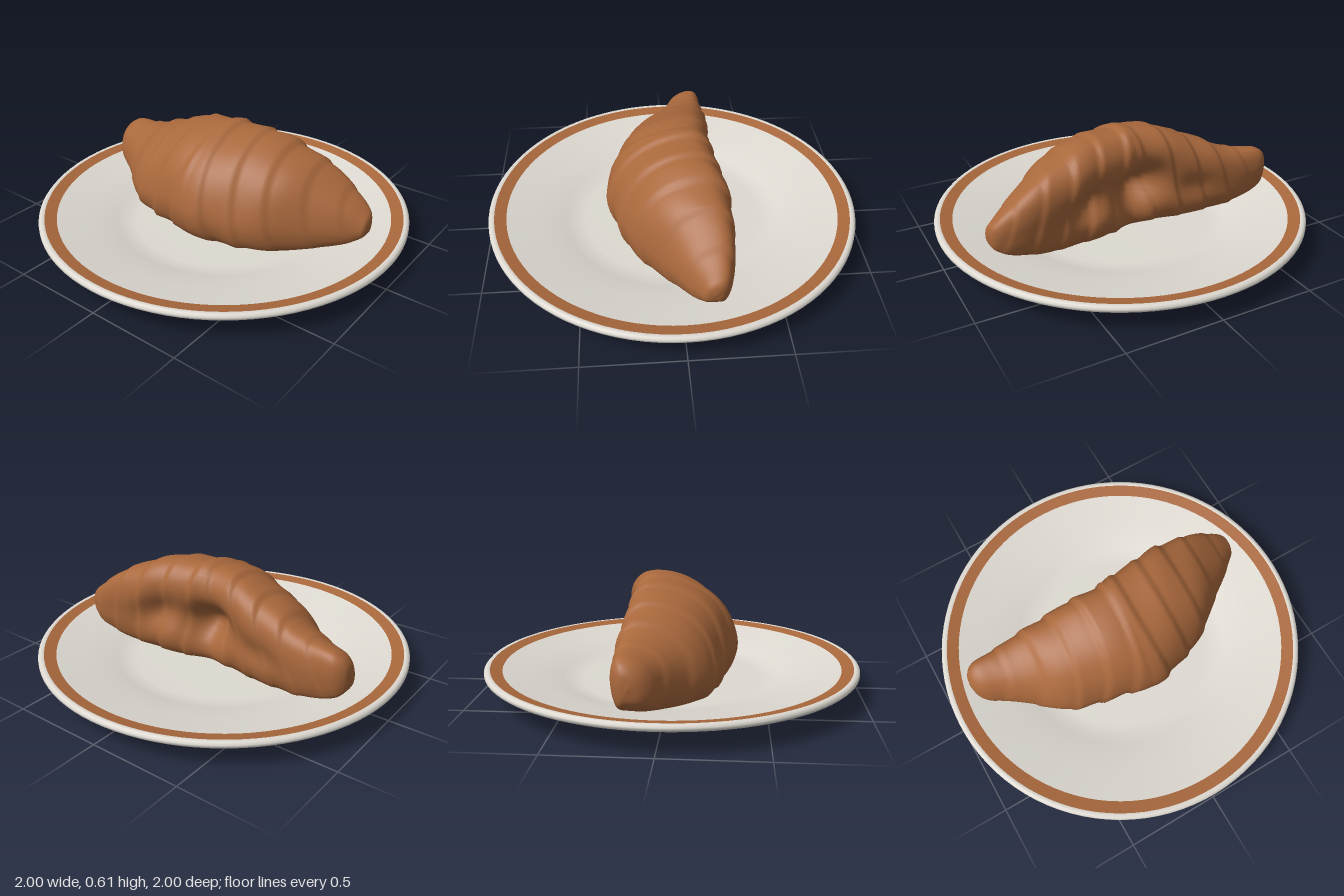
import * as THREE from 'three';

const crust = new THREE.MeshStandardMaterial({ color: 0xa9683c });
crust.name = 'golden brown';
const china = new THREE.MeshStandardMaterial({ color: 0xdedad2 });
china.name = 'off-white china';

function lathe(name, points, material) {
  const profile = points.map(([r, y]) => new THREE.Vector2(r, y));
  const mesh = new THREE.Mesh(new THREE.LatheGeometry(profile, 96), material);
  mesh.name = name;
  return mesh;
}

// Plate: one closed profile, cut where the colour changes or an edge is sharp
function createPlate() {
  const plate = new THREE.Group();
  plate.name = 'plate';
  plate.add(
    lathe('plateBase', [[0, 0], [0.55, 0]], china),
    lathe('plateUnderside', [[0.55, 0], [0.565, 0.012], [0.585, 0.034], [0.62, 0.045], [0.75, 0.069], [0.905, 0.098]], china),
    lathe('undersideBand', [[0.905, 0.098], [0.968, 0.11]], crust),
    lathe('plateRim', [[0.968, 0.11], [0.988, 0.115], [0.999, 0.125], [0.999, 0.137], [0.99, 0.147], [0.978, 0.15], [0.968, 0.147]], china),
    lathe('topBand', [[0.968, 0.147], [0.905, 0.134]], crust),
    lathe('plateTop', [[0.905, 0.134], [0.75, 0.104], [0.65, 0.083], [0.59, 0.065], [0.54, 0.052], [0.48, 0.046], [0, 0.046]], china),
  );
  return plate;
}

// Croissant stations along its length: x, bottom, top, back z, front z
const STATIONS = [
  [-0.85, 0.25, 0.25, -0.13, -0.13],
  [-0.835, 0.18, 0.32, -0.18, -0.07],
  [-0.79, 0.135, 0.365, -0.215, -0.02],
  [-0.7, 0.1, 0.385, -0.225, 0.03],
  [-0.57, 0.07, 0.405, -0.24, 0.13],
  [-0.43, 0.05, 0.475, -0.24, 0.235],
  [-0.3, 0.045, 0.525, -0.235, 0.28],
  [-0.17, 0.045, 0.585, -0.22, 0.31],
  [0, 0.045, 0.603, -0.22, 0.355],
  [0.15, 0.045, 0.595, -0.25, 0.325],
  [0.3, 0.045, 0.575, -0.27, 0.275],
  [0.44, 0.05, 0.525, -0.272, 0.2],
  [0.57, 0.07, 0.455, -0.265, 0.09],
  [0.7, 0.105, 0.36, -0.245, -0.01],
  [0.77, 0.14, 0.3, -0.22, -0.07],
  [0.8, 0.17, 0.265, -0.19, -0.1],
  [0.81, 0.22, 0.22, -0.145, -0.145],
];

// Unit section (back 0 to front 1, bottom 0 to top 1), from front over the top
const SECTION = [
  [1, 0.28], [0.965, 0.5], [0.87, 0.7], [0.73, 0.85], [0.55, 0.95], [0.35, 1], [0.17, 0.985],
  [0.05, 0.86], [0, 0.64], [0.01, 0.42], [0.06, 0.2], [0.16, 0.03], [0.4, 0], [0.7, 0], [0.92, 0.07],
];

const bump = (d, width) => Math.exp(-(d * d) / (width * width));

// Rolled dough layers: each swells outwards, then drops to the next
function layerHeight(x, v) {
  const phase = (Math.abs(x) + (x < 0 ? 0.13 : 0.09) * v) / 0.155;
  const f = phase - Math.floor(phase);
  return f < 0.84 ? f / 0.84 : (1 - f) / 0.16;
}

function createCroissant() {
  const RINGS = 180, SIDES = 64;
  const spline = (pts, closed) => new THREE.CatmullRomCurve3(pts, closed, 'catmullrom', 0.5);
  const heights = spline(STATIONS.map(([x, yb, yt]) => new THREE.Vector3(x, yb, yt)), false);
  const depths = spline(STATIONS.map(([x, , , zb, zf]) => new THREE.Vector3(x, zb, zf)), false);
  const outline = spline(SECTION.map(([u, v]) => new THREE.Vector3(u, v, 0)), true);
  const positions = [], index = [];

  for (let i = 0; i <= RINGS; i++) {
    const { x, y: yb, z: yt } = heights.getPoint(i / RINGS);
    const { y: zb, z: zf } = depths.getPoint(i / RINGS);
    const fade = THREE.MathUtils.smoothstep(0.84 - Math.abs(x), 0, 0.15);
    for (let j = 0; j < SIDES; j++) {
      const p = outline.getPoint(j / SIDES);
      const a = (j / SIDES) * Math.PI * 2;
      // layer steps and soft lumps
      const swell = 1 + fade * (0.045 * (layerHeight(x, p.y) - 0.6)
        + 0.012 * Math.sin(9 * x + 3 * a) + 0.01 * Math.sin(23 * x - 2 * a));
      let u = 0.5 + (p.x - 0.5) * swell;
      const v = p.y < 0.05 ? p.y : 0.45 + (p.y - 0.45) * swell;
      // hollow, uneven folds along the back
      if (p.x < 0.3) {
        u += bump(x - 0.02, 0.36) * bump(p.y - 0.46, 0.2) * (0.2 + 0.06 * Math.sin(17 * x + 5 * p.y));
        u += 0.035 * fade * bump(x, 0.5) * Math.sin(14 * x + 2) * bump(p.y - 0.3, 0.25);
      }
      positions.push(x, yb + (yt - yb) * v, zb + (zf - zb) * u);
      if (i < RINGS) {
        const k = (j + 1) % SIDES;
        const A = i * SIDES + j, B = A + SIDES, C = i * SIDES + k, D = C + SIDES;
        index.push(A, B, C, B, D, C);
      }
    }
  }
  const geometry = new THREE.BufferGeometry();
  geometry.setAttribute('position', new THREE.Float32BufferAttribute(positions, 3));
  geometry.setIndex(index);
  geometry.computeVertexNormals();
  const mesh = new THREE.Mesh(geometry, crust);
  mesh.name = 'croissant';
  return mesh;
}

export function createModel() {
  const model = new THREE.Group();
  model.name = 'croissantOnPlate';
  model.add(createPlate(), createCroissant());
  return model;
}
